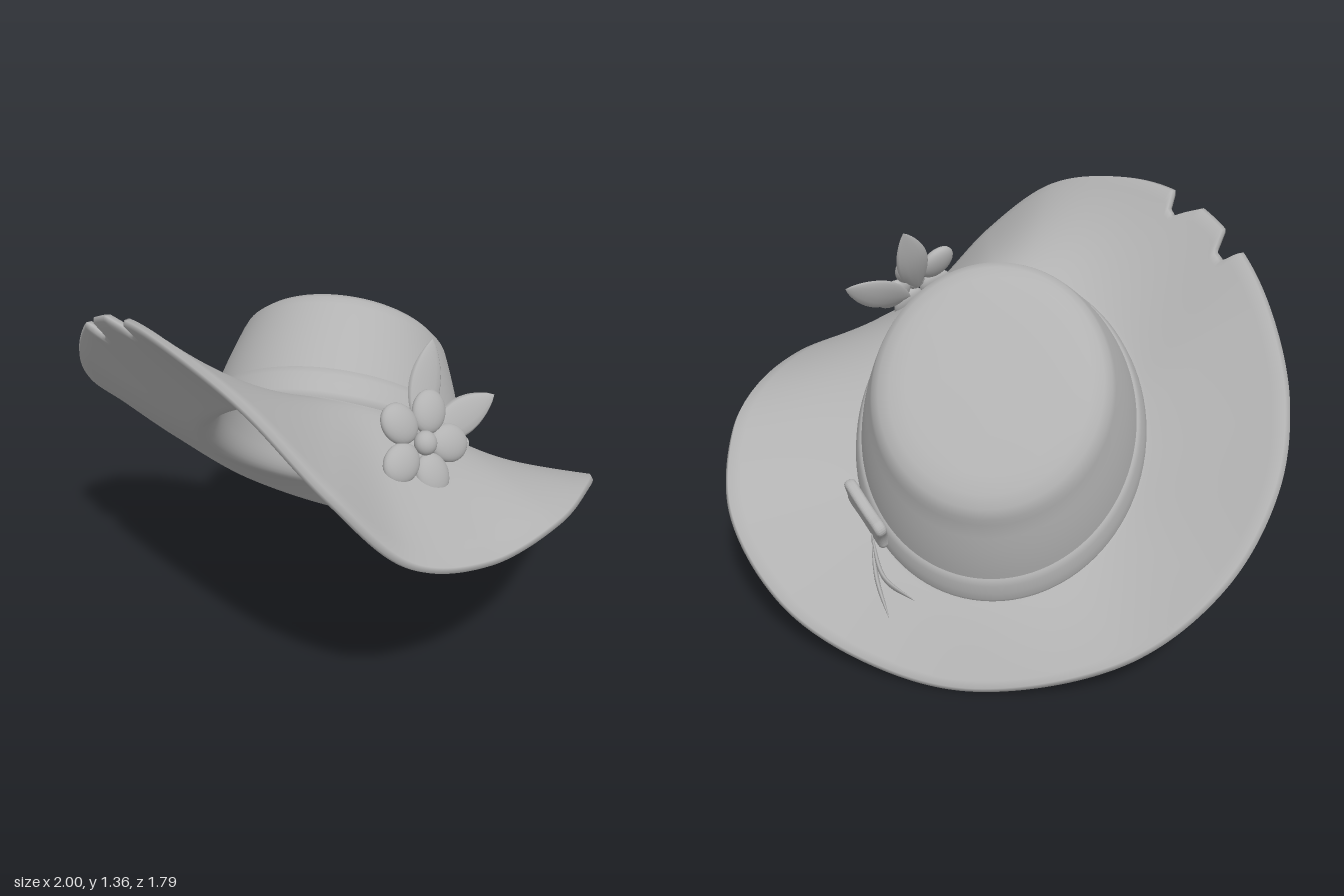
import * as THREE from 'three';

const V = (x, y, z) => new THREE.Vector3(x, y, z);
const N = 400;
const felt = new THREE.MeshStandardMaterial({ color: 0xb2b2b2 });
felt.name = 'grey felt';

// Smooth surface from rows of points; every row is a closed ring
function loft(rows) {
  const n = rows[0].length, idx = [];
  for (let i = 0; i < rows.length - 1; i++) for (let j = 0; j < n; j++) {
    const k = (j + 1) % n, a = i * n + j, b = a + n, c = (i + 1) * n + k, d = i * n + k;
    idx.push(a, c, b, a, d, c);
  }
  const g = new THREE.BufferGeometry().setFromPoints(rows.flat());
  g.setIndex(idx);
  g.computeVertexNormals();
  return g;
}

function add(parent, geometry, name) {
  const m = new THREE.Mesh(geometry, felt);
  m.name = name;
  parent.add(m);
  return m;
}

// Tilted crown: base and top ellipses, with a slightly bulging wall
const axis = V(0, 0.7, -0.7).normalize();
const baseMid = V(0, 0.645, -0.23);
const topMid = V(0, 0.965, -0.49);
const baseRing = p => V(0.49 * Math.cos(p), 0.645 - 0.015 * Math.cos(p) ** 2 + 0.38 * Math.sin(p), -0.23 + 0.457 * Math.sin(p));
const topRing = (p, s, lift) => V(0.4 * Math.cos(p), 0.325 * Math.sin(p), 0.305 * Math.sin(p))
  .multiplyScalar(s).add(topMid).addScaledVector(axis, lift);
const outward = p => baseRing(p).sub(baseMid).normalize();
const wall = (p, f) => topRing(p, 1, -0.06).lerp(baseRing(p), f)
  .addScaledVector(outward(p), 0.012 * Math.sin(Math.PI * Math.min(f, 1)));

// Brim edge, starting at the left side and running round by the front
const edge = new THREE.CatmullRomCurve3([
  [0.99, 0.59, -0.24], [0.97, 0.65, -0.03], [0.88, 0.665, 0.27], [0.665, 0.66, 0.585], [0.43, 0.75, 0.8],
  [0.19, 1.0, 0.88], [-0.075, 1.23, 0.805], [-0.34, 1.33, 0.635], [-0.555, 1.35, 0.45], [-0.715, 1.3, 0.285],
  [-0.845, 1.195, 0.11], [-0.94, 1.03, -0.05], [-0.99, 0.84, -0.27], [-0.955, 0.64, -0.52], [-0.8, 0.395, -0.725],
  [-0.5, 0.155, -0.845], [0, 0.015, -0.88], [0.35, 0.06, -0.85], [0.69, 0.19, -0.735], [0.925, 0.41, -0.525],
].map(a => V(...a)), true);

// Torn notches: [edge position, depth]
const tears = [[0, 0], [8.1, 0], [8.2, 0.07], [8.35, 0.085], [8.5, 0.05], [8.75, 0], [9.3, 0], [9.42, 0.075], [9.62, 0.075], [9.78, 0], [20, 0]];
function tear(s) {
  const i = tears.findIndex(t => t[0] > s), [a, da] = tears[i - 1], [b, db] = tears[i];
  return da + (db - da) * (s - a) / (b - a);
}

function hatShell() {
  const cols = [];
  for (let j = 0; j < N; j++) {
    const end = edge.getPoint(j / N);
    const p = Math.atan2((end.z + 0.23) / 0.457, end.x / 0.49);
    const start = baseRing(p);
    const ctrl = start.clone().addScaledVector(start.clone().sub(baseMid), 0.13);
    const brim = new THREE.QuadraticBezierCurve3(start, ctrl, end);
    const fillet = new THREE.QuadraticBezierCurve3(wall(p, 0.8), start, brim.getPoint(0.18));
    cols.push({ p, brim, fillet, cut: tear(20 * j / N) });
  }
  const mid = [];
  // crown top and shoulder
  for (const [s, lift] of [[0.001, 0.02], [0.4, 0.019], [0.7, 0.014], [0.83, 0.006], [0.92, -0.01], [0.975, -0.032]])
    mid.push(cols.map(c => topRing(c.p, s, lift)));
  // crown wall
  for (let i = 0; i < 5; i++) mid.push(cols.map(c => wall(c.p, i * 0.16)));
  // soft bend from wall to brim
  for (let i = 0; i < 7; i++) mid.push(cols.map(c => c.fillet.getPoint(i / 7)));
  // brim
  const brimRow = mid.length;
  for (let i = 0; i <= 16; i++) {
    const t = 0.18 + 0.82 * i / 16;
    mid.push(cols.map(c => c.brim.getPoint(t * (1 - c.cut * t ** 6))));
  }
  // thickness, a little heavier in the crown, and a rounded lip
  const nor = loft(mid).attributes.normal;
  const side = (crown, rim) => mid.map((row, i) => {
    const d = THREE.MathUtils.mapLinear(Math.max(i, brimRow), brimRow, mid.length - 1, crown, rim);
    return row.map((v, j) => v.clone().addScaledVector(V(0, 0, 0).fromBufferAttribute(nor, i * N + j), d));
  });
  const last = mid.length - 1;
  const lip = mid[last].map((v, j) => v.clone().addScaledVector(v.clone().sub(mid[last - 1][j]).normalize(), 0.012));
  return loft([...side(0.014, 0.016), lip, ...side(-0.03, -0.016).reverse()]);
}

// Ribbon around the foot of the crown
function bandShape() {
  return loft([[0.66, 0], [0.68, 0.02], [0.74, 0.028], [0.83, 0.034], [0.92, 0.036], [0.99, 0.032], [1.03, 0]].map(([f, off]) =>
    Array.from({ length: 96 }, (_, j) => {
      const p = j / 96 * Math.PI * 2;
      return wall(p, f).addScaledVector(outward(p), off);
    })));
}

// Tapered blade along a curve, used for leaves and ribbon tails
function blade(points, sideDir, width, thick) {
  const curve = new THREE.CatmullRomCurve3(points), rows = [];
  for (let i = 0; i <= 16; i++) {
    const t = i / 16, c = curve.getPoint(t), tan = curve.getTangent(t);
    const side = sideDir.clone().addScaledVector(tan, -sideDir.dot(tan)).normalize();
    const up = tan.clone().cross(side);
    const w = Math.max(0.002, Math.sin(Math.PI * t) ** 0.8);
    rows.push(Array.from({ length: 12 }, (_, j) => {
      const a = j / 12 * Math.PI * 2;
      return c.clone().addScaledVector(side, Math.cos(a) * w * width).addScaledVector(up, Math.sin(a) * w * thick);
    }));
  }
  return loft(rows);
}

export function createModel() {
  const hat = new THREE.Group();
  hat.name = 'hat';
  add(hat, hatShell(), 'crownAndBrim');
  add(hat, bandShape(), 'hatBand');

  // Flower facing left, up and forward
  const flower = new THREE.Group();
  flower.name = 'flower';
  const n = V(1.1, 0.7, 1).normalize(), u = V(1, 0, -1.1).normalize(), v = n.clone().cross(u);
  flower.applyMatrix4(new THREE.Matrix4().makeBasis(u, v, n).setPosition(0.41, 0.965, 0.365));
  for (let i = 0; i < 5; i++) {
    const a = (58 + 72 * i) * Math.PI / 180;
    const petal = add(flower, new THREE.SphereGeometry(1, 24, 16), 'petal');
    petal.scale.set(0.077, 0.066, 0.033);
    petal.position.set(Math.cos(a) * 0.112, Math.sin(a) * 0.112, 0);
    petal.rotation.z = a;
  }
  const heart = add(flower, new THREE.SphereGeometry(0.042, 20, 14), 'flowerCentre');
  heart.scale.z = 0.8;
  heart.position.z = 0.018;
  hat.add(flower);

  // Leaves behind the flower
  for (const [a, b] of [[V(0.39, 0.97, 0.3), V(0.408, 1.25, 0.135)], [V(0.42, 0.94, 0.28), V(0.625, 1.04, 0.08)]]) {
    const middle = a.clone().lerp(b, 0.5).addScaledVector(n, -0.008);
    add(hat, blade([a, middle, b], n.clone().cross(b.clone().sub(a)).normalize(), 0.067, 0.018), 'leaf');
  }

  // Bow plate with a pinched waist
  const t = V(-0.17, -0.12, -0.17).normalize();
  const h = V(0, 0.115, -0.067).addScaledVector(t, -V(0, 0.115, -0.067).dot(t)).normalize();
  const out = t.clone().cross(h);
  const s = new THREE.Shape();
  s.moveTo(-0.085, -0.064);
  s.quadraticCurveTo(0, -0.035, 0.085, -0.064);
  s.quadraticCurveTo(0.112, -0.06, 0.104, -0.04);
  s.quadraticCurveTo(0.094, 0, 0.104, 0.04);
  s.quadraticCurveTo(0.112, 0.06, 0.085, 0.064);
  s.quadraticCurveTo(0, 0.035, -0.085, 0.064);
  s.quadraticCurveTo(-0.112, 0.06, -0.104, 0.04);
  s.quadraticCurveTo(-0.094, 0, -0.104, -0.04);
  s.quadraticCurveTo(-0.112, -0.06, -0.085, -0.064);
  const bow = add(hat, new THREE.ExtrudeGeometry(s, {
    depth: 0.01, bevelSize: 0.016, bevelThickness: 0.016, bevelSegments: 5, curveSegments: 8,
  }).translate(0, 0, -0.005), 'bow');
  bow.applyMatrix4(new THREE.Matrix4().makeBasis(t, h, out).setPosition(0.425, 0.475, -0.56));

  // Ribbon tails
  add(hat, blade([V(0.41, 0.42, -0.58), V(0.335, 0.345, -0.74), V(0.2, 0.35, -0.87)], h, 0.02, 0.008), 'ribbonTail');
  add(hat, blade([V(0.41, 0.41, -0.57), V(0.36, 0.325, -0.73), V(0.29, 0.27, -0.87)], h, 0.02, 0.008), 'ribbonTail');
  return hat;
}
